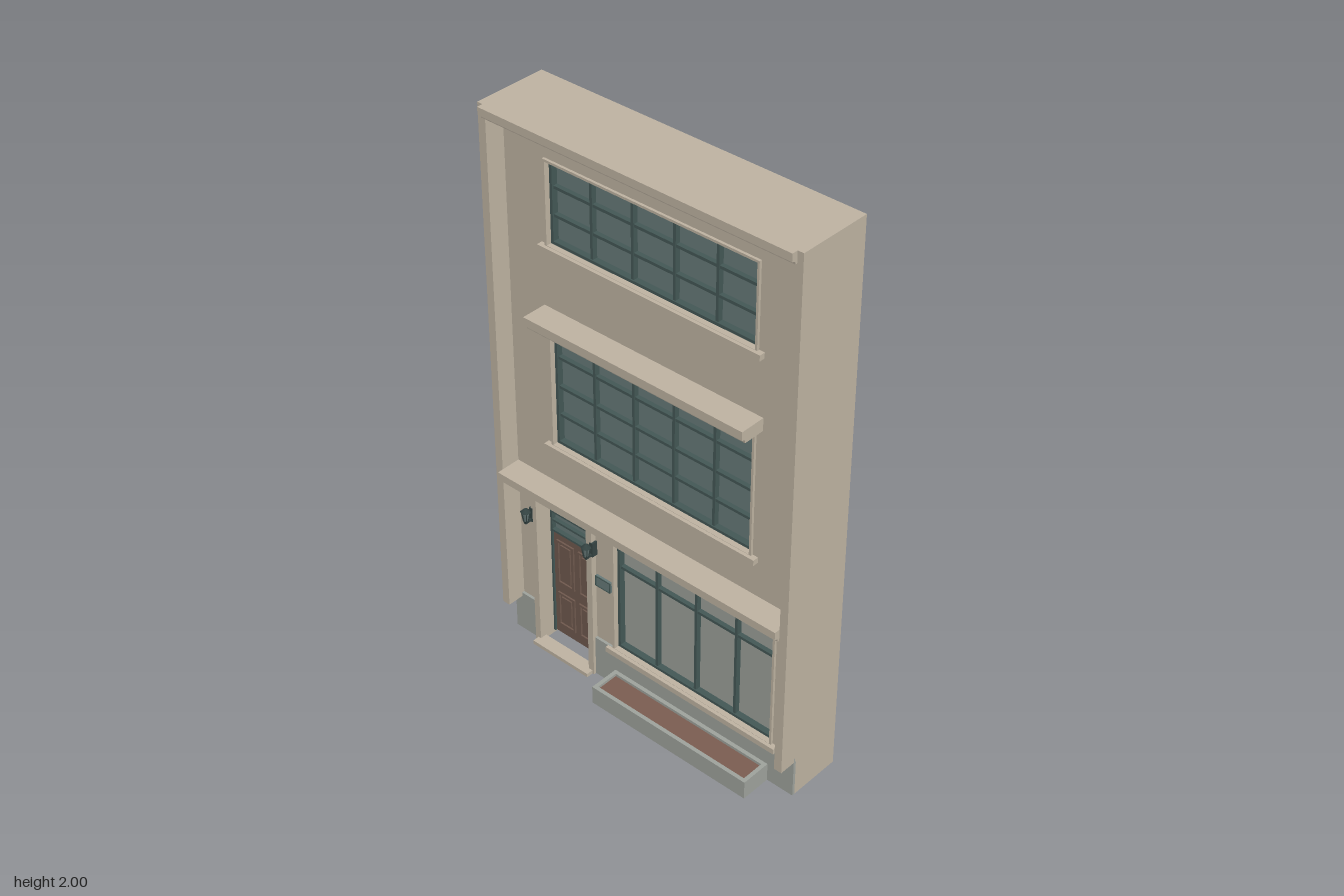
import * as THREE from 'three';

const mat = (name, color) => Object.assign(new THREE.MeshStandardMaterial({ color }), { name });

export function createModel() {
  const stone = mat('stone', 0xbcb1a0);
  const plinthGrey = mat('plinthGrey', 0x9da19b);
  const glass = mat('darkGlass', 0x667877);
  const shopGlass = mat('paleGlass', 0x9a9f98);
  const frameGreen = mat('frameGreen', 0x435755);
  const brown = mat('doorBrown', 0x6e584d);
  const soilBrown = mat('soilBrown', 0x7a5c50);
  const iron = mat('iron', 0x344342);

  const root = new THREE.Group();
  root.name = 'townhouseFacade';
  const BACK = -0.155, FACE = 0.035;

  const group = (name) => {
    const g = new THREE.Group();
    g.name = name;
    root.add(g);
    return g;
  };
  const add = (name, geo, m, parent = root) => {
    const mesh = new THREE.Mesh(geo, m);
    mesh.name = name;
    parent.add(mesh);
    return mesh;
  };
  // box from its limits on each axis
  const box = (name, x0, x1, y0, y1, z0, z1, m, parent) => {
    const b = add(name, new THREE.BoxGeometry(x1 - x0, y1 - y0, z1 - z0), m, parent);
    b.position.set((x0 + x1) / 2, (y0 + y1) / 2, (z0 + z1) / 2);
    return b;
  };
  const rectPath = (x0, x1, y0, y1) => new THREE.Path([
    [x0, y0], [x0, y1], [x1, y1], [x1, y0]].map(([x, y]) => new THREE.Vector2(x, y)));
  const poly = (pts) => new THREE.Shape(pts.map(([x, y]) => new THREE.Vector2(x, y)));
  const extrude = (shape, z0, z1) => new THREE.ExtrudeGeometry(shape,
    { depth: z1 - z0, bevelEnabled: false }).translate(0, 0, z0);
  // rectangular ring of given border width
  const ring = (name, x0, x1, y0, y1, w, z0, z1, m, parent) => {
    const s = poly([[x0, y0], [x1, y0], [x1, y1], [x0, y1]]);
    s.holes.push(rectPath(x0 + w, x1 - w, y0 + w, y1 - w));
    return add(name, extrude(s, z0, z1), m, parent);
  };

  // openings
  const upper = { name: 'upperWindow', x0: -0.4, x1: 0.395, y0: 1.575, y1: 1.857, cols: 5, rows: [1.67, 1.765], m: glass };
  const middle = { name: 'middleWindow', x0: -0.4, x1: 0.395, y0: 0.85, y1: 1.277, cols: 5, rows: [0.957, 1.062, 1.17], m: glass };
  const shop = { name: 'shopWindow', x0: -0.152, x1: 0.497, y0: 0.155, y1: 0.612, cols: 4, rows: [0.485], m: shopGlass };
  const D = { x0: -0.477, x1: -0.258, y1: 0.597 };

  // main wall, with the doorway cut up from the ground
  const wall = poly([[-0.597, 0], [D.x0, 0], [D.x0, D.y1], [D.x1, D.y1], [D.x1, 0],
    [0.597, 0], [0.597, 2], [-0.597, 2]]);
  for (const w of [upper, middle, shop]) wall.holes.push(rectPath(w.x0, w.x1, w.y0, w.y1));
  add('wall', extrude(wall, BACK, FACE), stone);

  // side piers
  for (const s of [-1, 1]) {
    const a = s * 0.568, b = s * 0.597;
    box('pier', Math.min(a, b), Math.max(a, b), 0.14, 2, FACE, 0.105, stone);
  }

  // grey plinth either side of the doorway
  box('plinthLeft', -0.597, -0.5, 0, 0.155, FACE, 0.045, plinthGrey);
  box('plinthMiddle', -0.235, -0.152, 0, 0.155, FACE, 0.045, plinthGrey);
  box('plinthUnderWindow', -0.152, 0.497, 0, 0.14, FACE, 0.045, plinthGrey);
  box('plinthRight', 0.497, 0.597, 0, 0.155, FACE, 0.045, plinthGrey);

  // moulded ledges: a side profile run along x
  const ledge = (name, halfWidth, y0, y1) => {
    const h = y1 - y0;
    const s = poly([[FACE, y0], [0.112, y0], [0.114, y0 + h * 0.25], [0.126, y0 + h * 0.35],
      [0.126, y1], [FACE, y1]]);
    const g = new THREE.ExtrudeGeometry(s, { depth: halfWidth * 2, bevelEnabled: false });
    g.rotateY(-Math.PI / 2).translate(halfWidth, 0, 0);
    add(name, g, stone);
  };
  ledge('topCornice', 0.576, 1.96, 2);
  ledge('shopCornice', 0.568, 0.66, 0.703);
  ledge('windowHood', 0.425, 1.31, 1.355);

  // glazed windows with frame, bars and sill
  for (const w of [upper, middle, shop]) {
    const g = group(w.name);
    box('pane', w.x0, w.x1, w.y0, w.y1, -0.004, 0.002, w.m, g);
    ring('frame', w.x0, w.x1, w.y0, w.y1, 0.01, 0.002, 0.024, frameGreen, g);
    for (let i = 1; i < w.cols; i++) {
      const x = w.x0 + (w.x1 - w.x0) * i / w.cols;
      box('mullion', x - 0.005, x + 0.005, w.y0, w.y1, 0.002, 0.02, frameGreen, g);
    }
    for (const y of w.rows)
      box('glazingBar', w.x0, w.x1, y - 0.005, y + 0.005, 0.002, 0.018, frameGreen, g);
    ring('trim', w.x0 - 0.007, w.x1 + 0.007, w.y0 - 0.007, w.y1 + 0.007, 0.008, FACE, 0.044, stone, g);
    box('sill', w.x0 - 0.027, w.x1 + 0.027, w.y0 - 0.02, w.y0, 0.02, 0.056, stone, g);
  }

  // door, transom and surround
  const door = group('door');
  box('doorLeaf', D.x0, D.x1, 0.012, 0.445, -0.035, -0.015, brown, door);
  for (const x of [-0.455, -0.36])
    for (const [y0, y1] of [[0.05, 0.19], [0.23, 0.41]]) {
      ring('panelMoulding', x, x + 0.075, y0, y1, 0.008, -0.015, -0.009, brown, door);
      box('panel', x + 0.016, x + 0.059, y0 + 0.016, y1 - 0.016, -0.015, -0.01, brown, door);
    }
  box('transomPane', D.x0, D.x1, 0.445, D.y1, -0.032, -0.024, glass, door);
  ring('transomFrame', D.x0, D.x1, 0.44, D.y1, 0.008, -0.024, -0.008, frameGreen, door);
  for (const y of [0.484, 0.519, 0.555])
    box('transomBar', D.x0, D.x1, y - 0.004, y + 0.004, -0.024, -0.01, frameGreen, door);
  for (const x of [D.x0, D.x1 - 0.007])
    box('doorJamb', x, x + 0.007, 0.012, 0.445, -0.03, -0.008, frameGreen, door);
  const surround = poly([[-0.5, 0], [D.x0, 0], [D.x0, D.y1], [D.x1, D.y1], [D.x1, 0],
    [-0.235, 0], [-0.235, 0.632], [-0.5, 0.632]]);
  add('doorSurround', extrude(surround, FACE, 0.055), stone, door);
  box('doorStep', -0.488, -0.242, 0, 0.014, 0.03, 0.08, stone, door);

  // wall lanterns
  for (const x of [-0.5, -0.235]) {
    const g = group('lantern');
    g.position.set(x, 0.535, 0.079);
    add('lanternGlass', new THREE.CylinderGeometry(0.014, 0.008, 0.036, 6), glass, g);
    add('lanternRoof', new THREE.CylinderGeometry(0.004, 0.018, 0.014, 6), iron, g).position.y = 0.024;
    add('lanternBase', new THREE.CylinderGeometry(0.01, 0.004, 0.01, 6), iron, g).position.y = -0.022;
    for (let i = 0; i < 6; i++) {
      const a = i * Math.PI / 3;
      const bar = add('lanternBar', new THREE.CylinderGeometry(0.0025, 0.0025, 0.038, 4), iron, g);
      bar.position.set(Math.sin(a) * 0.0115, 0, Math.cos(a) * 0.0115);
      bar.rotation.set(Math.cos(a) * 0.165, 0, -Math.sin(a) * 0.165);
    }
    box('lanternArm', -0.004, 0.004, -0.03, -0.022, -0.044, 0.004, iron, g);
    box('lanternBackplate', -0.007, 0.007, -0.034, 0.02, -0.044, -0.022, iron, g);
  }

  // wall plaque
  box('plaque', -0.23, -0.166, 0.38, 0.42, FACE, 0.043, glass);
  ring('plaqueRim', -0.23, -0.166, 0.38, 0.42, 0.003, 0.043, 0.046, frameGreen);

  // planter box
  const planter = group('planter');
  const [px0, px1, pz0, pz1, t] = [-0.147, 0.495, 0.045, 0.155, 0.014];
  box('planterFront', px0, px1, 0, 0.068, pz1 - t, pz1, plinthGrey, planter);
  box('planterBack', px0, px1, 0, 0.068, pz0, pz0 + t, plinthGrey, planter);
  for (const x of [px0, px1 - t])
    box('planterEnd', x, x + t, 0, 0.068, pz0 + t, pz1 - t, plinthGrey, planter);
  box('planterBase', px0 + t, px1 - t, 0, 0.02, pz0 + t, pz1 - t, plinthGrey, planter);
  box('soil', px0 + t, px1 - t, 0.02, 0.058, pz0 + t, pz1 - t, soilBrown, planter);

  return root;
}
